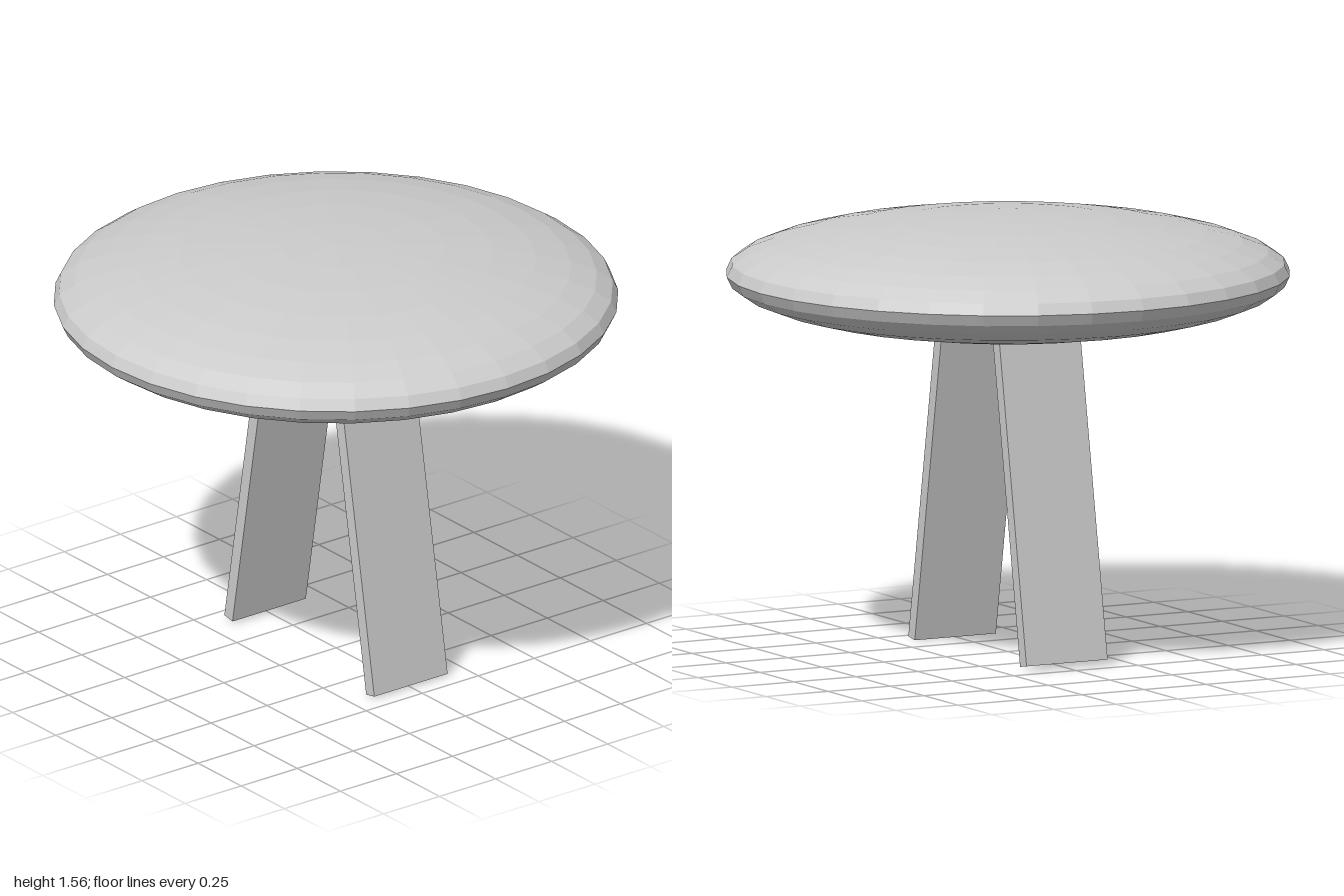
import * as THREE from 'three';

export function createModel() {
  const model = new THREE.Group();
  const material = new THREE.MeshStandardMaterial({ color: 0xcccccc, flatShading: true });

  // Faceted, flattened ellipsoid top
  const topGeometry = new THREE.SphereGeometry(1, 32, 16);
  topGeometry.scale(1, 0.205, 1);
  const top = new THREE.Mesh(topGeometry, material);
  top.name = 'top';
  top.position.y = 1.355;
  model.add(top);

  // Two plank legs, splayed 10 degrees, reaching a little way into the top
  const tilt = THREE.MathUtils.degToRad(10);
  const legLength = 1.22;
  const addLeg = (name, side, footY) => {
    const geometry = new THREE.BoxGeometry(0.327, legLength, 0.048);
    geometry.translate(0, legLength / 2, 0); // pivot at the foot
    const leg = new THREE.Mesh(geometry, material);
    leg.name = name;
    leg.position.set(0, footY, side * 0.411);
    leg.rotation.x = -side * tilt;
    model.add(leg);
  };
  addLeg('frontLeg', 1, 0.004);
  addLeg('backLeg', -1, 0.014);

  return model;
}
